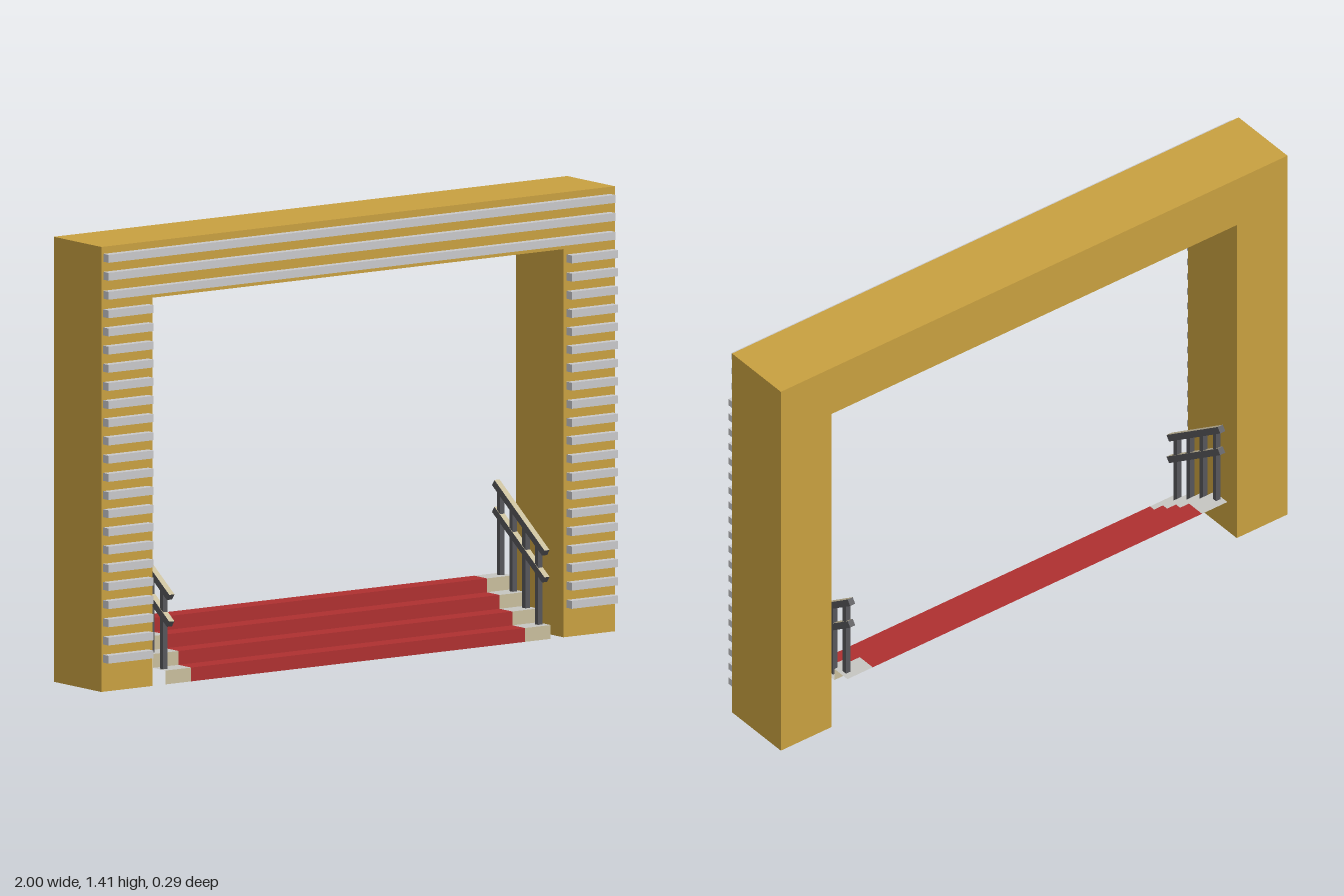
import * as THREE from 'three';

const flat = (color, name) => {
  const m = new THREE.MeshStandardMaterial({ color, side: THREE.DoubleSide });
  m.name = name;
  return m;
};

export function createModel() {
  const gold = flat(0xc8a040, 'gold');
  const silver = flat(0xc8c8ca, 'silver');
  const red = flat(0xae3030, 'carpetRed');
  const beige = flat(0xc8bd9c, 'beige');
  const stone = flat(0xc6c6c2, 'stone');
  const iron = flat(0x56565a, 'iron');
  const model = new THREE.Group();

  const add = (parent, name, geometry, material, x = 0, y = 0, z = 0) => {
    const mesh = new THREE.Mesh(geometry, material);
    mesh.name = name;
    mesh.position.set(x, y, z);
    parent.add(mesh);
    return mesh;
  };
  const group = (name) => {
    const g = new THREE.Group();
    g.name = name;
    model.add(g);
    return g;
  };

  // Portal frame: hollow shell, open under the feet
  const frame = group('portalFrame');
  const zFront = 0.12, zBack = -0.13, depth = zFront - zBack, zMid = (zFront + zBack) / 2;
  const outline = [[-0.8, 0], [-0.8, 1.23], [0.8, 1.23], [0.8, 0], [1, 0], [1, 1.41], [-1, 1.41], [-1, 0]];
  const face = new THREE.ShapeGeometry(new THREE.Shape(outline.map(([x, y]) => new THREE.Vector2(x, y))));
  add(frame, 'frameFront', face, gold, 0, 0, zFront);
  add(frame, 'frameBack', face.clone().rotateY(Math.PI).scale(1, 1, 1), gold, 0, 0, zBack);
  outline.forEach(([x, y], i) => {
    const [x2, y2] = outline[(i + 1) % outline.length];
    if (y === 0 && y2 === 0) return;
    const wall = new THREE.PlaneGeometry(Math.hypot(x2 - x, y2 - y), depth);
    wall.rotateX(-Math.PI / 2).rotateZ(Math.atan2(y2 - y, x2 - x) + Math.PI);
    add(frame, 'frameWall', wall, gold, (x + x2) / 2, (y + y2) / 2, zMid);
  });

  // Slats across the front
  const slats = group('slats');
  const slat = (name, x1, x2, y) =>
    add(slats, name, new THREE.BoxGeometry(x2 - x1, 0.025, 0.027), silver, (x1 + x2) / 2, y, 0.1335);
  for (let i = 0; i < 20; i++) {
    const y = 0.105 + i * 0.0576;
    slat('rightLegSlat', -0.993, -0.817, y);
    slat('leftLegSlat', 0.812, 0.993, y);
  }
  for (const y of [1.258, 1.318, 1.375]) slat('topSlat', -0.992, 0.982, y);

  // Stairs: thin stepped sheet with a carpet between two borders
  const stairs = group('stairs');
  const rise = 0.0438, run = 0.0667;
  const strips = [
    ['carpet', -0.65, 0.65, red, red],
    ['rightBorder', -0.75, -0.65, beige, stone],
    ['leftBorder', 0.65, 0.75, beige, stone],
  ];
  for (const [name, x1, x2, riserMat, treadMat] of strips) {
    for (let i = 0; i < 4; i++) {
      const x = (x1 + x2) / 2, z = 0.12 - i * run;
      add(stairs, name + 'Riser', new THREE.PlaneGeometry(x2 - x1, rise), riserMat, x, (i + 0.5) * rise, z);
      add(stairs, name + 'Tread', new THREE.PlaneGeometry(x2 - x1, run).rotateX(-Math.PI / 2),
        treadMat, x, (i + 1) * rise, z - run / 2);
    }
  }

  // Handrails: sloping bars with a light top face, one post per step
  const slope = 0.19 / 0.263;
  const railMaterials = [iron, iron, beige, iron, iron, iron];
  for (const [side, x] of [['right', -0.733], ['left', 0.728]]) {
    const rail = group(side + 'Handrail');
    for (const [name, y] of [['topRail', 0.37], ['middleRail', 0.285]]) {
      const bar = add(rail, name, new THREE.BoxGeometry(0.02, 0.022, 0.324), railMaterials, x, y, -0.0075);
      bar.rotation.x = Math.atan(slope);
    }
    for (let i = 0; i < 4; i++) {
      const z = 0.12 - (i + 0.5) * run;
      const bottom = (i + 1) * rise - 0.003;
      const top = 0.37 + (-0.0075 - z) * slope;
      add(rail, 'post', new THREE.BoxGeometry(0.017, top - bottom, 0.017), iron, x, (top + bottom) / 2, z);
    }
  }
  return model;
}
